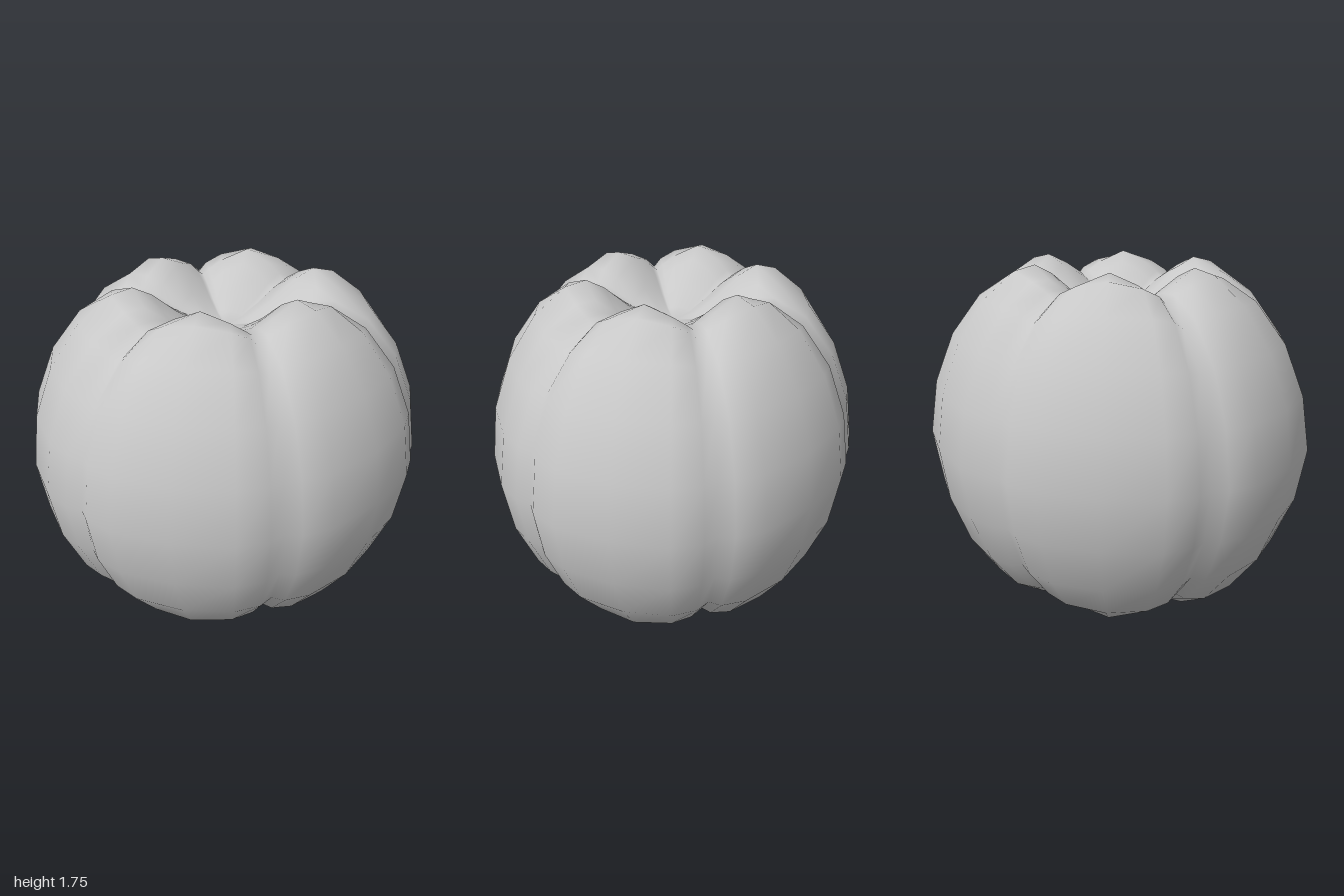
import * as THREE from 'three';

const LOBES = 6, MID = 0.875, DEPTH = 0.924;

// Half profiles from the equator to the pole: [radius, height above the middle]
const ridge = [[1, 0], [0.962, 0.27], [0.865, 0.52], [0.718, 0.725], [0.556, 0.85],
  [0.45, 0.875], [0.36, 0.83], [0.24, 0.73], [0.12, 0.655], [0, 0.63]];
const groove = [[0.962, 0], [0.925, 0.26], [0.83, 0.49], [0.68, 0.66], [0.52, 0.74],
  [0.43, 0.75], [0.34, 0.725], [0.23, 0.68], [0.12, 0.645], [0, 0.63]];

// Columns across one lobe: angle in degrees, groove weight at equator and near the pole
const columns = [[-25.7, 0.05, 0.8], [-16.75, -0.3, 0.45], [0, 0, 0],
  [16.75, -0.3, 0.45], [25.7, 0.05, 0.8], [30, 1, 1]];

function lobedBody() {
  const last = ridge.length - 1, rows = 2 * last, n = LOBES * columns.length;
  const pos = [], index = [];
  // Rings between the two poles
  for (let i = 1; i < rows; i++) {
    const k = Math.abs(i - last), side = Math.sign(i - last);
    for (let j = 0; j < n; j++) {
      const [deg, wEquator, wPole] = columns[j % columns.length];
      const a = THREE.MathUtils.degToRad(Math.floor(j / columns.length) * 360 / LOBES + deg);
      const w = THREE.MathUtils.lerp(wEquator, wPole, Math.min(1, k / 5));
      const r = THREE.MathUtils.lerp(ridge[k][0], groove[k][0], w);
      const y = THREE.MathUtils.lerp(ridge[k][1], groove[k][1], w);
      pos.push(r * Math.cos(a), MID + side * y, DEPTH * r * Math.sin(a));
    }
  }
  // Sunken poles, bottom then top
  const bottom = pos.length / 3, top = bottom + 1;
  pos.push(0, MID - ridge[last][1], 0, 0, MID + ridge[last][1], 0);
  const at = (i, j) => i === 0 ? bottom : i === rows ? top : (i - 1) * n + j % n;
  for (let i = 0; i < rows; i++) {
    for (let j = 0; j < n; j++) {
      const a = at(i, j + 1), b = at(i, j), c = at(i + 1, j), d = at(i + 1, j + 1);
      if (i > 0) index.push(a, b, c);
      if (i < rows - 1) index.push(a, c, d);
      if (i === 0) index.push(bottom, c, d);
    }
  }
  // The bottom fan is added once: drop the duplicate made by the first row
  const clean = [];
  const seen = new Set();
  for (let t = 0; t < index.length; t += 3) {
    const key = index.slice(t, t + 3).join();
    if (!seen.has(key)) clean.push(...index.slice(t, t + 3));
    seen.add(key);
  }
  const geo = new THREE.BufferGeometry();
  geo.setAttribute('position', new THREE.Float32BufferAttribute(pos, 3));
  geo.setIndex(clean);
  geo.computeVertexNormals();
  return geo;
}

export function createModel() {
  const group = new THREE.Group();
  group.name = 'lobedGourd';
  const skin = new THREE.MeshStandardMaterial({ color: 0xc8c8c8 });
  skin.name = 'light grey';
  const body = new THREE.Mesh(lobedBody(), skin);
  body.name = 'body';
  group.add(body);
  return group;
}
